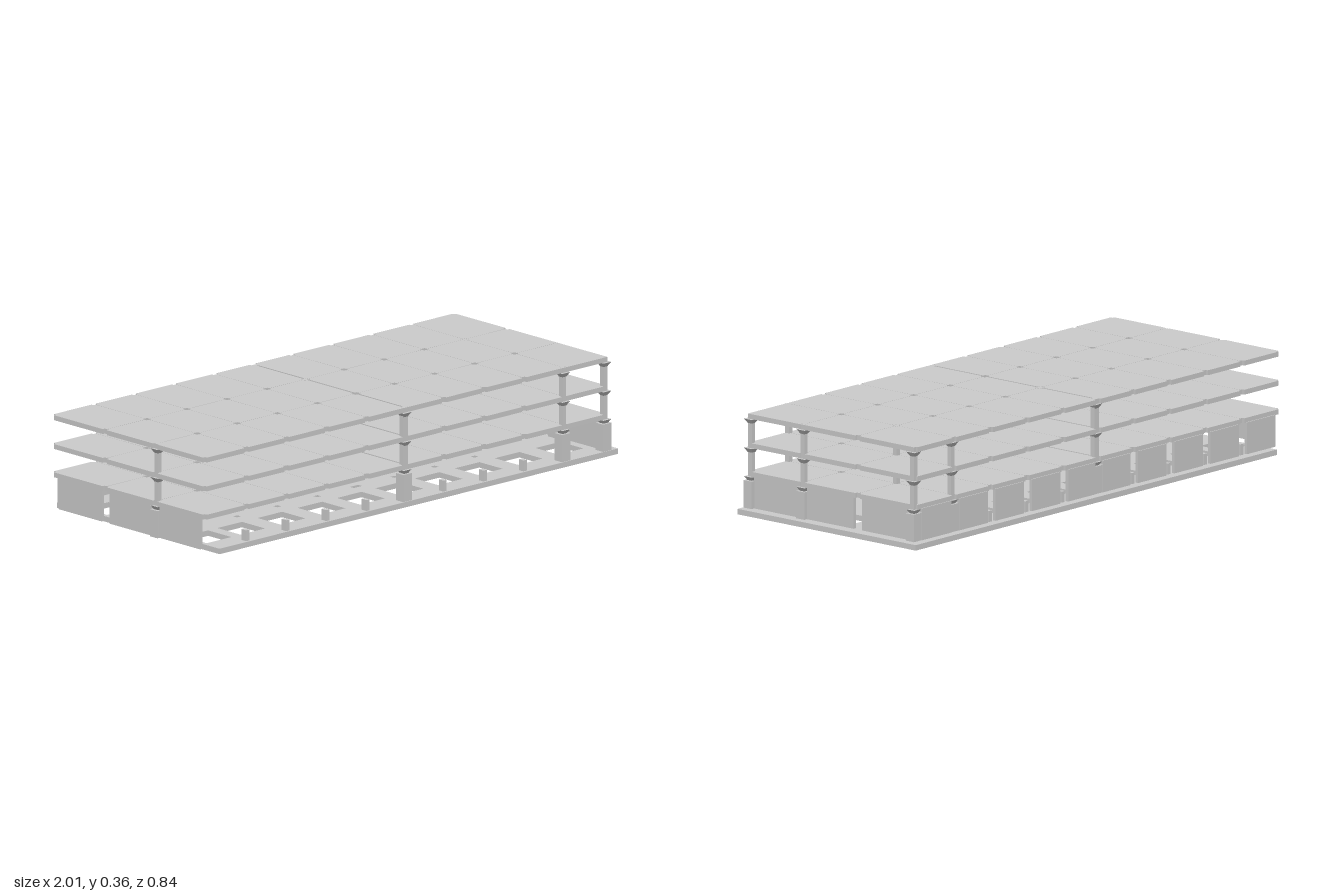
import * as THREE from 'three';
import { mergeGeometries } from 'three/addons/utils/BufferGeometryUtils.js';

const mat = new THREE.MeshStandardMaterial({ color: 0xcccccc, flatShading: true });

// Grid lines of the structure
const gridX = [-0.99, -0.795, -0.6, -0.405, -0.21, -0.022, 0.165, 0.36, 0.555, 0.75, 0.95];
const gridZ = [-0.37, -0.11, 0.15, 0.4];

// Box given by its limits
function box(x0, x1, y0, y1, z0, z1) {
  const g = new THREE.BoxGeometry(x1 - x0, y1 - y0, z1 - z0);
  return g.translate((x0 + x1) / 2, (y0 + y1) / 2, (z0 + z1) / 2);
}

function part(name, geos) {
  const m = new THREE.Mesh(mergeGeometries(geos), mat);
  m.name = name;
  return m;
}

function rect(Type, x0, x1, z0, z1) {
  const s = new Type();
  s.moveTo(x0, -z1);
  s.lineTo(x1, -z1);
  s.lineTo(x1, -z0);
  s.lineTo(x0, -z0);
  s.closePath();
  return s;
}

// Horizontal plate with rectangular holes
function plate(x0, x1, z0, z1, y0, y1, holes) {
  const s = rect(THREE.Shape, x0, x1, z0, z1);
  holes.forEach(h => s.holes.push(rect(THREE.Path, ...h)));
  const g = new THREE.ExtrudeGeometry(s, { depth: y1 - y0, bevelEnabled: false });
  return g.rotateX(-Math.PI / 2).translate(0, y0, 0);
}

// Column openings along one row of the floors
const slots = gridX.slice(1, 9).map((x, i) => {
  const w = i === 4 ? 0.02 : 0.01;
  return [x - w, x + w, 0.14, 0.16];
});

// Foundation slab with one square opening in every bay
function foundation() {
  const holes = [...slots];
  for (let i = 0; i < 10; i++) {
    const cx = (gridX[i] + gridX[i + 1]) / 2 + (i === 0 ? 0.03 : 0);
    for (const cz of [0.275, 0.02, -0.24]) holes.push([cx - 0.06, cx + 0.06, cz - 0.06, cz + 0.06]);
  }
  return part('foundationSlab', [plate(-0.94, 1, -0.42, 0.42, 0, 0.02, holes)]);
}

// Floor of coffered panels, two halves split by a joint
function floor(top) {
  const bottom = top - 0.018, skin = top - 0.006;
  const geos = [];
  const xs = [-1, ...gridX.slice(1, 10), 0.96];
  const zs = [-0.385, -0.11, 0.15, 0.408];
  for (let i = 0; i < 10; i++) {
    for (let j = 0; j < 3; j++) {
      const x0 = xs[i] + (i === 5 ? 0.004 : 0.0008), x1 = xs[i + 1] - (i === 4 ? 0.004 : 0.0008);
      const z0 = zs[j] + 0.0008, z1 = zs[j + 1] - 0.0008, n = 0.01;
      // Panel outline, notched at each corner for the columns
      const s = new THREE.Shape();
      [[x0 + n, -z1], [x1 - n, -z1], [x1 - n, -z1 + n], [x1, -z1 + n], [x1, -z0 - n], [x1 - n, -z0 - n],
        [x1 - n, -z0], [x0 + n, -z0], [x0 + n, -z0 - n], [x0, -z0 - n], [x0, -z1 + n], [x0 + n, -z1 + n]]
        .forEach(([x, y], k) => (k ? s.lineTo(x, y) : s.moveTo(x, y)));
      const g = new THREE.ExtrudeGeometry(s, { depth: top - skin, bevelEnabled: false });
      geos.push(g.rotateX(-Math.PI / 2).translate(0, skin, 0).toNonIndexed?.() ?? g);
      // Rim beams and inner ribs
      const ribs = [
        box(x0 + n, x1 - n, bottom, skin, z0, z0 + 0.016), box(x0 + n, x1 - n, bottom, skin, z1 - 0.016, z1),
        box(x0, x0 + 0.014, bottom, skin, z0 + n, z1 - n), box(x1 - 0.014, x1, bottom, skin, z0 + n, z1 - n)];
      for (let k = 1; k < 6; k++) {
        const z = z0 + (z1 - z0) * k / 6;
        ribs.push(box(x0 + 0.014, x1 - 0.014, bottom + 0.003, skin, z - 0.005, z + 0.005));
      }
      const xm = (x0 + x1) / 2;
      ribs.push(box(xm - 0.005, xm + 0.005, bottom + 0.003, skin, z0 + 0.016, z1 - 0.016));
      ribs.forEach(r => geos.push(r.toNonIndexed()));
    }
  }
  return part('floor', geos);
}

// Column with a footing socket and a flared bracket under each floor
function column(x, z, wide, socketTop) {
  const w = 0.009, geos = [box(x - w - wide, x + w + wide, 0.02, 0.362, z - w, z + w)];
  geos.push(box(x - 0.021, x + 0.021, 0.02, socketTop, z - 0.019, z + 0.019));
  for (const y of [0.134, 0.238, 0.344]) {
    const b = box(-0.019, 0.019, -0.016, 0, -0.019, 0.019);
    const p = b.attributes.position;
    for (let i = 0; i < p.count; i++) {
      if (p.getY(i) < -0.01) p.setXYZ(i, p.getX(i) * 0.5, p.getY(i), p.getZ(i) * 0.5);
    }
    geos.push(b.translate(x, y, z));
  }
  return part('column', geos);
}

export function createModel() {
  const model = new THREE.Group();
  model.add(foundation());

  for (const top of [0.152, 0.256, 0.362]) model.add(floor(top));

  // Columns
  const places = [
    [0.95, 0.398], [0.95, 0.15], [0.95, -0.367],
    [0.75, 0.398], [0.75, -0.11], [0.75, -0.367],
    [-0.022, 0.398], [-0.022, -0.11], [-0.022, -0.367], [-0.985, 0.15]];
  for (const [x, z] of places) {
    model.add(column(x, z, x === -0.022 ? 0.003 : 0, z === -0.11 ? 0.06 : 0.12));
  }

  // Short footing posts where no column stands
  const posts = [];
  for (const x of gridX.slice(1, 9)) {
    for (const z of gridZ) {
      if (z === 0.15 || x === -0.022) continue;
      posts.push(box(x - 0.008, x + 0.008, 0.02, 0.06, z - 0.012, z + 0.012));
    }
  }
  model.add(part('footingPosts', posts));

  // Wall panels along the back
  const back = [];
  for (let i = 0; i < 10; i++) {
    back.push(box(gridX[i] + 0.021, gridX[i + 1] - 0.021, 0.02, 0.136, -0.388, -0.376));
  }
  model.add(part('backWallPanels', back));

  // Wall panels at both ends
  for (const [name, x] of [['leftWallPanels', 0.951], ['rightWallPanels', -0.99]]) {
    const geos = [];
    for (let j = 0; j < 3; j++) {
      geos.push(box(x - 0.006, x + 0.006, 0.02, 0.136, gridZ[j] + 0.02, gridZ[j + 1] - 0.02));
    }
    model.add(part(name, geos));
  }
  return model;
}
